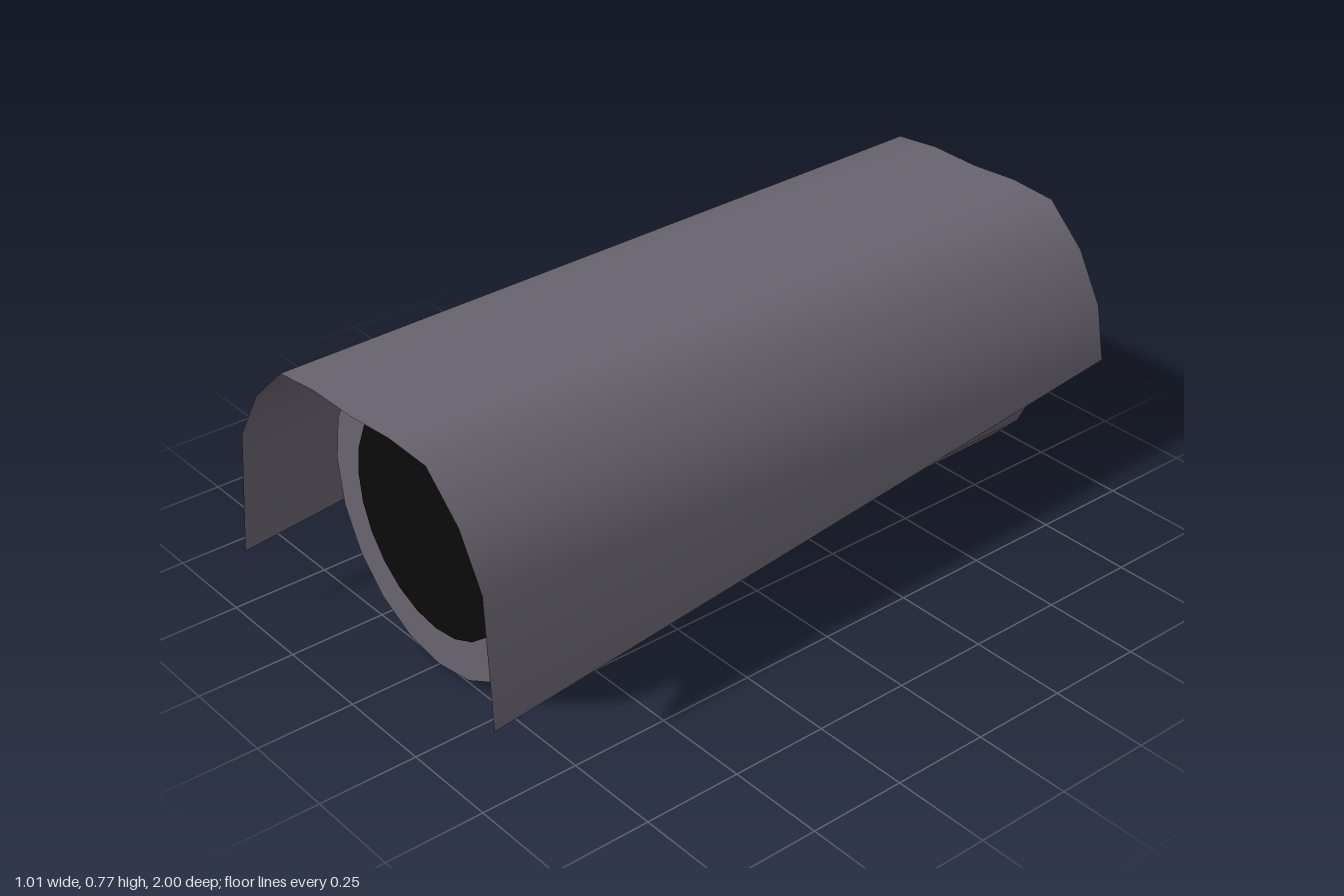
import * as THREE from 'three';
import { toCreasedNormals } from 'three/addons/utils/BufferGeometryUtils.js';

const grey = new THREE.MeshStandardMaterial({ color: 0x68646f });
const greyThin = new THREE.MeshStandardMaterial({ color: 0x68646f, side: THREE.DoubleSide });
const black = new THREE.MeshStandardMaterial({ color: 0x0a0a0a });

// Half profile of the cover from lower edge to crown: offset from middle, front height, back height
const coverProfile = [
  [0.465, 0.2, 0.357], [0.437, 0.528, 0.5], [0.365, 0.657, 0.629],
  [0.26, 0.758, 0.73], [0.135, 0.769, 0.741], [0, 0.763, 0.735],
];

// Open cover: one strip between the front and back rims, slightly turned and tilted
function coverGeometry() {
  const mirrored = coverProfile.slice(0, -1).reverse().map(([x, f, b]) => [-x, f, b]);
  const points = [...coverProfile, ...mirrored];
  const position = [], index = [];
  points.forEach(([x, front, back], i) => {
    position.push(x + 0.036, front, 0.979 - 0.04 * x - 0.02 * (front - 0.2));
    position.push(x - 0.04, back, -0.982 - 0.038 * x - 0.01 * (back - 0.357));
    if (i < points.length - 1) {
      const a = 2 * i;
      index.push(a, a + 1, a + 2, a + 2, a + 1, a + 3);
    }
  });
  const geometry = new THREE.BufferGeometry();
  geometry.setAttribute('position', new THREE.Float32BufferAttribute(position, 3));
  geometry.setIndex(index);
  geometry.computeVertexNormals();
  return geometry;
}

// Twenty-sided body with a flattened, slightly dished top, rising towards the back
function bodyGeometry() {
  const radius = 0.38, sides = 20, centre = 0.383;
  const outline = [];
  for (let i = 0; i < sides; i++) {
    const a = (i / sides) * Math.PI * 2 - Math.PI / 2;
    const x = radius * Math.cos(a);
    const dish = 0.307 - 0.006 * (1 - Math.min(1, Math.abs(x) / 0.12));
    outline.push(new THREE.Vector2(x, centre + Math.min(radius * Math.sin(a), dish)));
  }
  const geometry = new THREE.ExtrudeGeometry(new THREE.Shape(outline), { depth: 1.59, bevelEnabled: false });
  geometry.translate(0, 0, -0.83);
  const p = geometry.attributes.position;
  for (let i = 0; i < p.count; i++) p.setY(i, p.getY(i) + (0.76 - p.getZ(i)) * 0.02);
  return toCreasedNormals(geometry, 0.9);
}

export function createModel() {
  const model = new THREE.Group();
  const add = (name, geometry, material) => {
    const mesh = new THREE.Mesh(geometry, material);
    mesh.name = name;
    model.add(mesh);
    return mesh;
  };

  add('body', bodyGeometry(), grey);
  add('cover', coverGeometry(), greyThin);

  // Dark round opening on the front face
  const opening = add('frontOpening', new THREE.CircleGeometry(0.285, 24), black);
  opening.position.set(0, 0.39, 0.763);

  return model;
}
